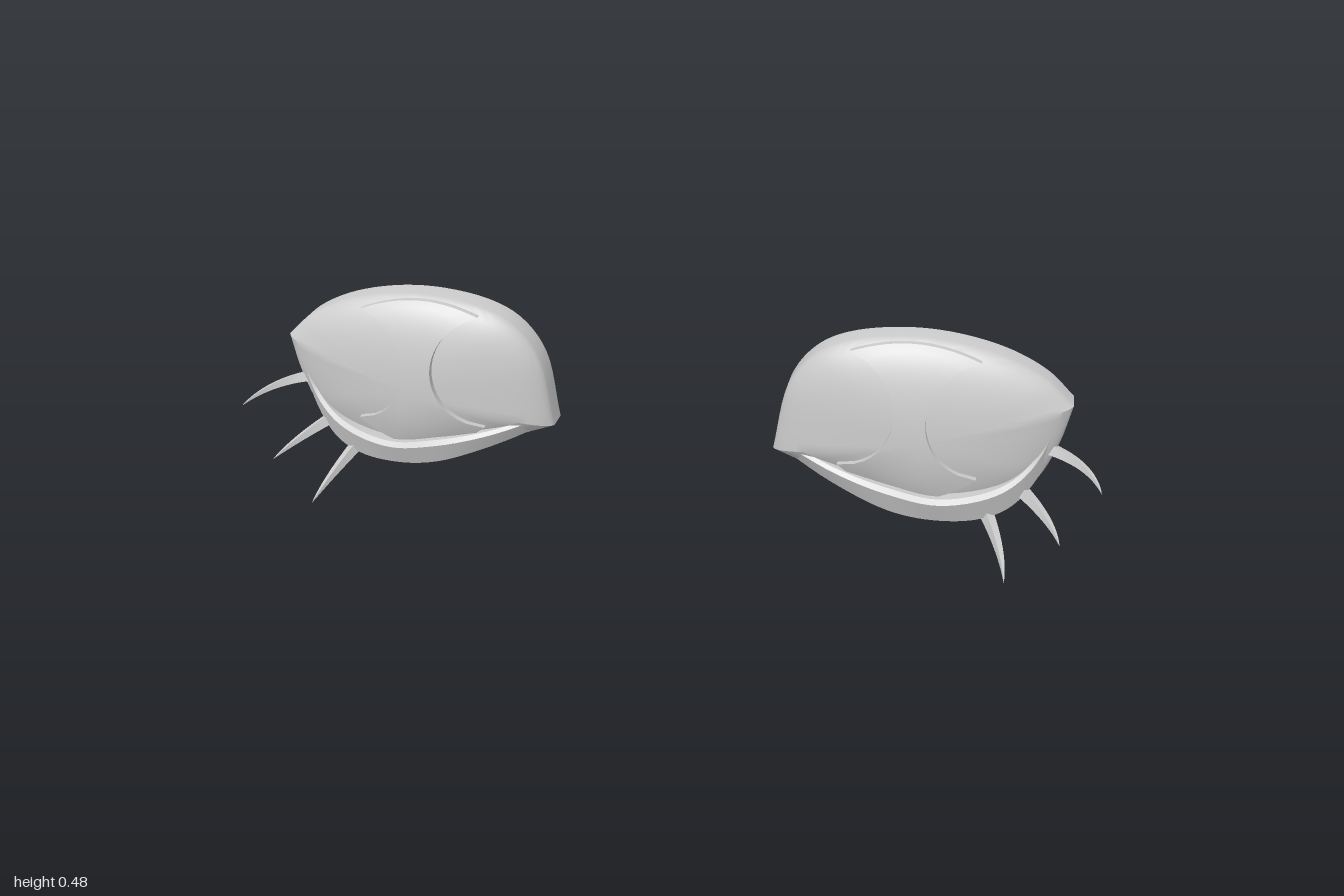
import * as THREE from 'three';
import { toCreasedNormals } from 'three/addons/utils/BufferGeometryUtils.js';

const material = new THREE.MeshStandardMaterial({ color: 0xcccccc, side: THREE.DoubleSide });
const CX = 0.6, CY = 0.25, BACK = -0.143;

// Smooth curve through [x, y] points, sampled into n + 1 points
const sample = (pts, n) =>
  new THREE.CatmullRomCurve3(pts.map(([x, y]) => new THREE.Vector3(x, y, 0)), false, 'centripetal').getPoints(n);

// Eye outline, clockwise from the inner corner: upper edge, then outer and lower edge
const upper = sample([[0.265, 0.17], [0.297, 0.342], [0.355, 0.42], [0.435, 0.46], [0.596, 0.48],
  [0.757, 0.455], [0.864, 0.406], [0.928, 0.348]], 44);
const lower = sample([[0.928, 0.348], [0.906, 0.25], [0.864, 0.15], [0.81, 0.086], [0.757, 0.053],
  [0.66, 0.026], [0.57, 0.042], [0.49, 0.075], [0.265, 0.17]], 44);
const outline = [...upper, ...lower.slice(1)];

// Dome height from the share s of the way to the outline
const edgeZ = y => -0.09 - 0.035 * (1 - THREE.MathUtils.smoothstep(y, 0.03, 0.2));
const domeZ = (s, yEdge) => {
  const e = edgeZ(yEdge);
  return e + (-0.015 - e) * Math.pow(Math.max(0, 1 - s * s), 0.55);
};
function share(x, y) {
  let s = 0;
  for (let i = 0; i < outline.length - 1; i++) {
    const a = outline[i], b = outline[i + 1];
    const nx = b.y - a.y, ny = a.x - b.x;
    s = Math.max(s, (nx * (x - CX) + ny * (y - CY)) / (nx * (a.x - CX) + ny * (a.y - CY)));
  }
  return s;
}

// Surface through rows of [x, y, z] points, mirrored when side is -1
function surface(name, rows, side, crease) {
  const w = rows[0].length, index = [];
  for (let i = 0; i < rows.length - 1; i++) {
    for (let j = 0; j < w - 1; j++) {
      const a = i * w + j, b = a + 1, d = a + w, c = d + 1;
      index.push(...(side > 0 ? [a, b, c, a, c, d] : [a, c, b, a, d, c]));
    }
  }
  const geometry = new THREE.BufferGeometry();
  geometry.setAttribute('position',
    new THREE.Float32BufferAttribute(rows.flat().flatMap(([x, y, z]) => [x * side, y, z]), 3));
  geometry.setIndex(index);
  const mesh = new THREE.Mesh(toCreasedNormals(geometry, crease), material);
  mesh.name = name;
  return mesh;
}

// Domed eyeball with a short side wall and flat back
function eyeball(side) {
  const ring = (s, z) => outline.map(p => {
    const x = CX + (p.x - CX) * s, y = CY + (p.y - CY) * s;
    return [x, y, z ?? domeZ(s, p.y)];
  });
  const rows = [];
  for (let i = 0; i <= 16; i++) rows.push(ring(Math.sin(i / 16 * Math.PI / 2)));
  rows.push(ring(1, BACK), ring(0, BACK));
  return surface('eyeball', rows, side, 0.5);
}

// Raised waisted panel between two round lenses
function centrePanel(side) {
  const N = 24, rows = [], r = 0.137;
  const clamp = k => Math.min(N, Math.max(0, k));
  for (let i = -1; i <= N + 1; i++) {
    const v = clamp(i) / N, y0 = THREE.MathUtils.lerp(0.176, 0.446, v);
    const half = Math.sqrt(Math.max(0, r * r - (y0 - 0.312) ** 2));
    const left = 0.405 + half, right = 0.75 - half;
    const row = [];
    for (let j = -1; j <= N + 1; j++) {
      const u = clamp(j) / N, x = THREE.MathUtils.lerp(left, right, u);
      const arch = 1 - (2 * u - 1) ** 2;
      const y = y0 + v * v * 0.028 * arch - (1 - v) ** 2 * 0.07 * arch;
      const skirt = i < 0 || j < 0 || i > N || j > N;
      const s = share(x, y);
      row.push([x, y, domeZ(s, CY + (y - CY) / Math.max(s, 0.05)) + (skirt ? -0.008 : 0.015)]);
    }
    rows.push(row);
  }
  return surface('centrePanel', rows, side, 0.6);
}

// Lower eyelid: a band swept from the inner to the outer corner
function lowerLid(side) {
  const n = 40;
  const top = sample([[0.272, 0.206], [0.41, 0.166], [0.543, 0.138], [0.66, 0.123], [0.785, 0.155],
    [0.84, 0.2], [0.875, 0.26], [0.892, 0.335]], n);
  const bottom = sample([[0.266, 0.178], [0.43, 0.113], [0.55, 0.074], [0.65, 0.063], [0.75, 0.071],
    [0.815, 0.1], [0.868, 0.17], [0.926, 0.345]], n);
  const rows = top.map((p, i) => {
    const q = bottom[i], mid = p.clone().lerp(q, 0.2);
    const front = x => -0.1 + 0.102 * Math.pow(Math.max(0, 1 - ((x - CX) / 0.34) ** 2), 0.8);
    const f = front(p.x), g = front(q.x);
    return [[p.x, p.y, f - 0.04], [p.x, p.y, f - 0.008], [mid.x, mid.y, front(mid.x)],
      [q.x, q.y, g - 0.018], [q.x, q.y, Math.max(g - 0.09, -0.13)]];
  });
  return surface('lowerLid', rows, side, 0.5);
}

// Curved, tapering four-sided lash
function lash(side, base, bend, tip) {
  const curve = new THREE.QuadraticBezierCurve3(...[base, bend, tip].map(p => new THREE.Vector3(...p)));
  const rows = [], n = 12;
  for (let i = 0; i <= n; i++) {
    const t = i / n, p = curve.getPoint(t), T = curve.getTangent(t);
    const N = new THREE.Vector3(0, 1, 0).addScaledVector(T, -T.y).normalize();
    const B = T.clone().cross(N);
    const r = 0.017 * (1 - t) ** 0.85;
    rows.push([0, 1, 2, 3, 4].map(k => {
      const a = k * Math.PI / 2 + 0.5;
      return p.clone().addScaledVector(N, r * Math.cos(a)).addScaledVector(B, r * Math.sin(a)).toArray();
    }));
  }
  return surface('lash', rows, side, 0.5);
}

export function createModel() {
  const model = new THREE.Group();
  model.name = 'eyes';
  for (const side of [1, -1]) {
    const eye = new THREE.Group();
    eye.name = side > 0 ? 'leftEye' : 'rightEye';
    eye.add(
      eyeball(side), centrePanel(side), lowerLid(side),
      lash(side, [0.885, 0.24, -0.085], [0.98, 0.228, -0.05], [1.0, 0.213, 0.06]),
      lash(side, [0.835, 0.137, -0.07], [0.91, 0.095, -0.015], [0.925, 0.087, 0.08]),
      lash(side, [0.76, 0.085, -0.055], [0.81, 0.025, 0.03], [0.815, 0.002, 0.12]),
    );
    model.add(eye);
  }
  return model;
}
